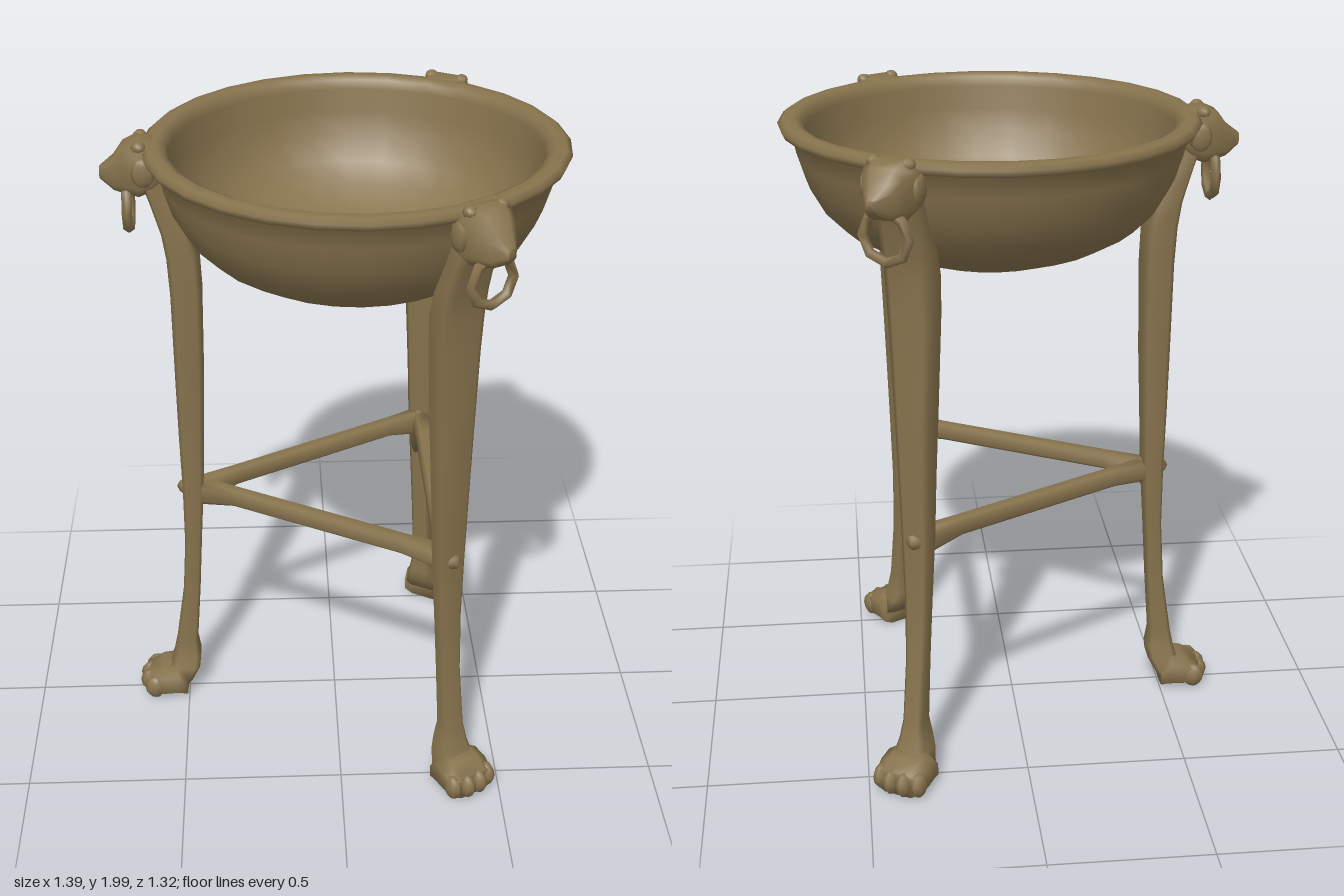
import * as THREE from 'three';

const bronze = new THREE.MeshStandardMaterial({ color: 0x87734d });
bronze.name = 'bronze';

const CENTRE_X = 0.065;

// Skin a list of rings (equal point counts) and close both ends.
function loft(rings) {
  const n = rings[0].length, pos = [], idx = [];
  rings.forEach(r => r.forEach(p => pos.push(...p)));
  for (let j = 0; j < rings.length - 1; j++) {
    for (let i = 0; i < n; i++) {
      const a = j * n + i, b = j * n + (i + 1) % n;
      idx.push(a, b, b + n, a, b + n, a + n);
    }
  }
  const last = (rings.length - 1) * n;
  for (let i = 1; i < n - 1; i++) idx.push(0, i + 1, i, last, last + i, last + i + 1);
  const g = new THREE.BufferGeometry();
  g.setAttribute('position', new THREE.Float32BufferAttribute(pos, 3));
  g.setIndex(idx);
  g.computeVertexNormals();
  return g;
}

// Eight-sided ring; a lower boxy value pushes the points towards the corners.
function ring(boxy, place) {
  return Array.from({ length: 8 }, (_, i) => {
    const t = (i + 0.5) / 8 * Math.PI * 2;
    const f = v => Math.sign(v) * Math.pow(Math.abs(v), boxy) * 1.04;
    return place(f(Math.cos(t)), f(Math.sin(t)));
  });
}

// Upright loft; rows are [y, inner x, outer x, half width in z].
const uprightLoft = rows => loft(rows.map(([y, a, b, w]) =>
  ring(0.42, (c, s) => [(a + b) / 2 + s * (b - a) / 2, y, c * w])));

// Loft along +x; rows are [x, bottom y, top y, half width in z].
const forwardLoft = rows => loft(rows.map(([x, lo, hi, w]) =>
  ring(0.6, (c, s) => [x, (lo + hi) / 2 + c * (hi - lo) / 2, s * w])));

function add(parent, name, geometry, position = [0, 0, 0]) {
  const m = new THREE.Mesh(geometry, bronze);
  m.name = name;
  m.position.set(...position);
  parent.add(m);
  return m;
}

function ellipsoid(parent, name, size, position) {
  const m = add(parent, name, new THREE.SphereGeometry(1, 8, 6), position);
  m.scale.set(...size);
  return m;
}

// One leg with paw, lion mask and ring, facing local +x.
function makeLeg() {
  const leg = new THREE.Group();
  leg.name = 'leg';

  add(leg, 'legShaft', uprightLoft([
    [0.05, 0.555, 0.64, 0.066], [0.10, 0.527, 0.625, 0.052], [0.14, 0.522, 0.612, 0.042],
    [0.20, 0.53, 0.60, 0.032], [0.40, 0.515, 0.57, 0.032], [0.60, 0.503, 0.557, 0.037],
    [0.80, 0.49, 0.556, 0.044], [1.00, 0.483, 0.56, 0.049], [1.20, 0.475, 0.562, 0.056],
    [1.50, 0.47, 0.564, 0.068], [1.62, 0.475, 0.57, 0.072], [1.70, 0.497, 0.582, 0.072],
    [1.80, 0.543, 0.612, 0.066], [1.88, 0.562, 0.64, 0.06], [1.95, 0.575, 0.635, 0.055],
  ]));

  // paw with four toes
  add(leg, 'paw', forwardLoft([
    [0.57, 0, 0.07, 0.076], [0.60, 0, 0.11, 0.08],
    [0.65, 0, 0.10, 0.082], [0.70, 0, 0.078, 0.074],
  ]));
  [-0.064, -0.022, 0.022, 0.064].forEach(z => {
    const front = 0.704 - Math.abs(z) * 0.4;
    ellipsoid(leg, 'toe', [0.036, 0.041, 0.025], [front, 0.041, z]);
  });

  // lion mask
  add(leg, 'lionHead', forwardLoft([
    [0.56, 1.86, 1.965, 0.062], [0.60, 1.838, 1.978, 0.082], [0.64, 1.82, 1.988, 0.084],
    [0.685, 1.828, 1.97, 0.062], [0.715, 1.835, 1.93, 0.044], [0.756, 1.866, 1.9, 0.014],
  ]));
  for (const side of [-1, 1]) {
    ellipsoid(leg, 'ear', [0.022, 0.02, 0.022], [0.635, 1.973, side * 0.052]);
    ellipsoid(leg, 'maneTuft', [0.035, 0.045, 0.014], [0.625, 1.905, side * 0.08]);
  }

  // hanging ring, held in the mouth
  const loop = add(leg, 'handleRing', new THREE.TorusGeometry(0.072, 0.016, 5, 8), [0.677, 1.777, 0]);
  loop.rotation.y = Math.PI / 2;
  return leg;
}

// Bar between two legs, flared at both ends; drop lowers the far end's bracket.
function makeStretcher(from, to, drop) {
  const length = from.distanceTo(to);
  const bar = new THREE.Group();
  bar.name = 'stretcher';
  add(bar, 'stretcherBar', forwardLoft([
    [0, 0.742, 0.826, 0.034], [0.14, 0.771, 0.826, 0.027],
    [length - 0.14, 0.771, 0.826, 0.027], [length, 0.755 - drop, 0.826, 0.034],
  ]));
  bar.position.copy(from);
  bar.rotation.y = -Math.atan2(to.z - from.z, to.x - from.x);
  return bar;
}

export function createModel() {
  const model = new THREE.Group();
  model.name = 'tripodBasin';
  const body = new THREE.Group();
  body.name = 'body';
  body.position.x = CENTRE_X;
  model.add(body);

  // basin: outer wall, rolled lip, inner wall
  const profile = [
    [0, 1.53], [0.12, 1.534], [0.25, 1.558], [0.36, 1.598], [0.45, 1.65], [0.51, 1.71],
    [0.555, 1.79], [0.58, 1.87], [0.592, 1.935], [0.622, 1.942], [0.632, 1.962],
    [0.615, 1.976], [0.585, 1.978], [0.563, 1.968], [0.555, 1.94], [0.545, 1.87], [0.528, 1.80],
    [0.488, 1.72], [0.43, 1.665], [0.34, 1.612], [0.24, 1.575], [0.12, 1.552], [0, 1.547],
  ].map(([r, y]) => new THREE.Vector2(r, y));
  add(body, 'basin', new THREE.LatheGeometry(profile, 28));

  // three legs, one to the side and two mirrored front and back
  const angles = [Math.PI, Math.PI / 3, -Math.PI / 3];
  angles.forEach(a => {
    const leg = makeLeg();
    leg.rotation.y = -a;
    body.add(leg);
  });

  // stretchers join the legs in a triangle, pinned through each leg
  const joints = angles.map(a => new THREE.Vector3(Math.cos(a) * 0.505, 0, Math.sin(a) * 0.505));
  joints.forEach((p, i) => {
    body.add(makeStretcher(p, joints[(i + 1) % 3], i === 1 ? 0.1 : 0));
    const pin = ellipsoid(body, 'stretcherPin', [0.058, 0.035, 0.035], [p.x * 1.025, 0.8, p.z * 1.025]);
    pin.rotation.y = -angles[i];
  });

  return model;
}
